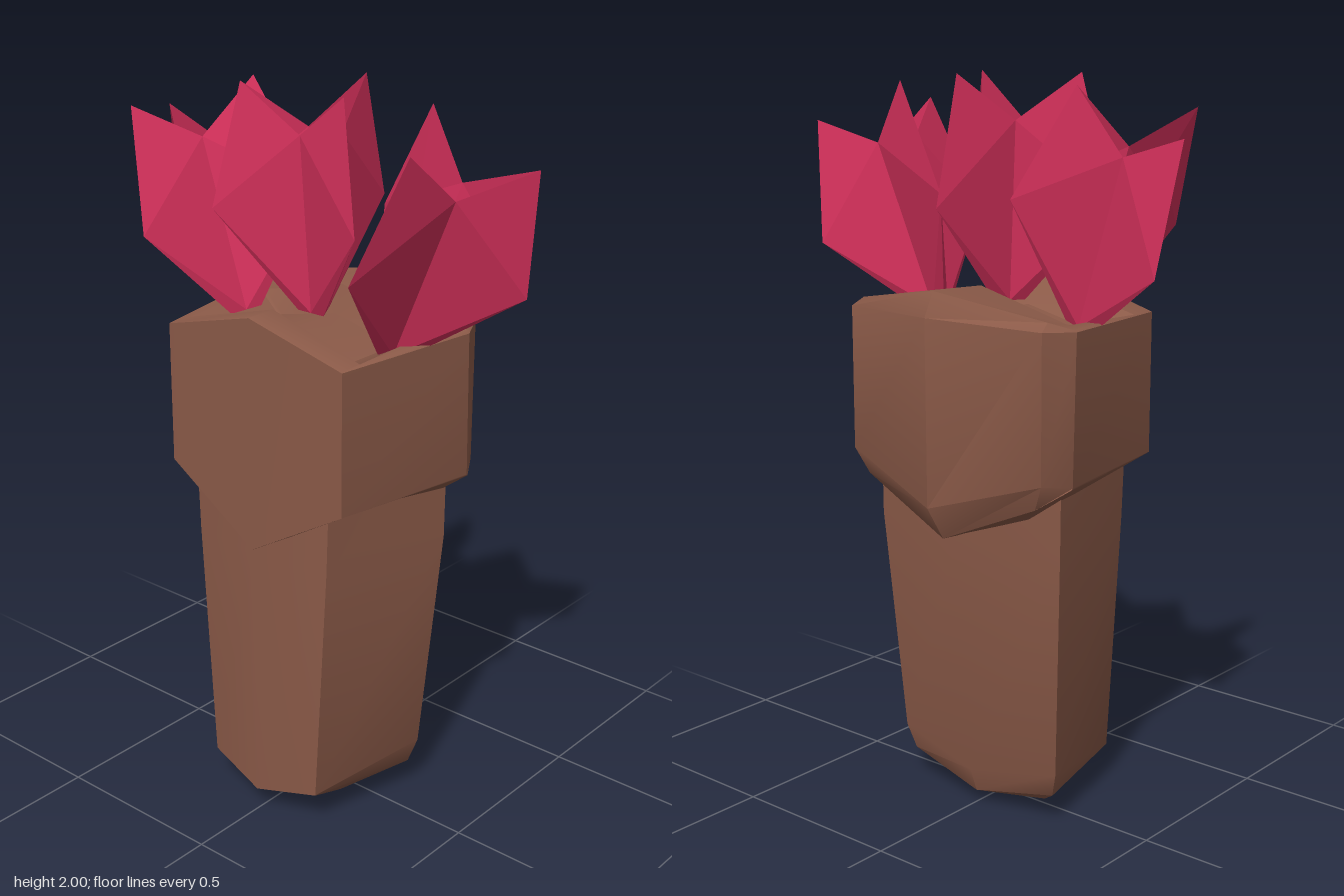
import * as THREE from 'three';
import { toCreasedNormals } from 'three/addons/utils/BufferGeometryUtils.js';

// Triangles from corner triples, dropping the collapsed ones
function fromTriangles(tris) {
  const pos = [];
  const tri = new THREE.Triangle();
  for (const [a, b, c] of tris) {
    tri.set(a, b, c);
    if (tri.getArea() > 1e-7) for (const p of [a, b, c]) pos.push(p.x, p.y, p.z);
  }
  const geo = new THREE.BufferGeometry();
  geo.setAttribute('position', new THREE.Float32BufferAttribute(pos, 3));
  geo.computeVertexNormals();
  return geo;
}

// Skin over closed rings, listed from the bottom up
function loft(rings) {
  const tris = [];
  for (let r = 0; r < rings.length - 1; r++) {
    const lo = rings[r], up = rings[r + 1], n = lo.length;
    for (let i = 0; i < n; i++) {
      const j = (i + 1) % n;
      tris.push([lo[i], lo[j], up[j]], [lo[i], up[j], up[i]]);
    }
  }
  return fromTriangles(tris);
}

// Full ring from a half outline running front centre -> +x side -> back centre
function mirrorRing(half) {
  const right = half.map(([x, y, z]) => new THREE.Vector3(x, y, z));
  const left = right.slice(1, -1).reverse().map((p) => new THREE.Vector3(-p.x, p.y, p.z));
  return [...right, ...left];
}

const collapse = (n, y, z) => Array.from({ length: n }, () => [0, y, z]);

// Three-ridged tulip cup, one ridge pointing to -z
function tulipGeometry() {
  const at = (angle, r, y) => new THREE.Vector3(Math.sin(angle) * r, y, -Math.cos(angle) * r);
  const tris = [];
  const step = (Math.PI * 2) / 3;
  const ridge = (a) => [at(a, 0.05, 0), at(a, 0.275, 0.26), at(a, 0.195, 0.59)];
  for (let k = 0; k < 3; k++) {
    const a = k * step;
    const [b0, w0, t0] = ridge(a);
    const [b1, w1, t1] = ridge(a + step);
    const valley = at(a + step / 2, 0.065, 0.47);
    const foot = at(a + step / 2, 0.025, 0);
    tris.push(
      [b0, w0, foot], [w0, valley, foot], [w0, t0, valley],
      [foot, w1, b1], [foot, valley, w1], [valley, t1, w1],
      [new THREE.Vector3(), b0, foot], [new THREE.Vector3(), foot, b1],
    );
  }
  return fromTriangles(tris);
}

export function createModel() {
  const group = new THREE.Group();
  const brown = new THREE.MeshStandardMaterial({ color: 0x8b5a48 });
  const pink = new THREE.MeshStandardMaterial({ color: 0xd6315c, side: THREE.DoubleSide, flatShading: true });

  const addLoft = (name, halves, crease) => {
    const mesh = new THREE.Mesh(toCreasedNormals(loft(halves.map(mirrorRing)), crease), brown);
    mesh.name = name;
    group.add(mesh);
  };

  // Tapered vessel with a faceted front and softened base
  addLoft('vesselBody', [
    collapse(4, 0.005, 0.02),
    [[0, 0.01, 0.08], [0.16, 0.05, 0.1], [0.2, 0.055, -0.06], [0, 0.01, -0.05]],
    [[0, 0.07, 0.274], [0.185, 0.11, 0.24], [0.25, 0.09, -0.09], [0, 0.04, -0.115]],
    [[0, 0.071, 0.274], [0.186, 0.112, 0.24], [0.272, 0.16, -0.105], [0, 0.11, -0.14]],
    [[0, 0.8, 0.274], [0.225, 0.8, 0.24], [0.313, 0.8, -0.145], [0, 0.8, -0.185]],
    [[0, 1.1, 0.274], [0.235, 1.1, 0.24], [0.315, 1.1, -0.145], [0, 1.1, -0.19]],
  ], 0.6);

  // Wide collar: pointed lower edge, gabled rim, shallow recess for the flowers
  addLoft('collar', [
    [[0, 0.81, 0.25], [0.22, 0.955, 0.22], [0.3, 0.935, -0.13], [0.22, 0.88, -0.16], [0, 0.8, -0.18]],
    [[0, 0.815, 0.277], [0.295, 0.99, 0.265], [0.366, 0.985, -0.17], [0.29, 0.93, -0.22], [0, 0.805, -0.245]],
    [[0, 0.816, 0.277], [0.295, 0.991, 0.265], [0.367, 0.99, -0.165], [0.325, 1.0, -0.24], [0, 0.9, -0.305]],
    [[0, 1.455, 0.277], [0.295, 1.375, 0.265], [0.367, 1.385, -0.155], [0.325, 1.39, -0.24], [0, 1.4, -0.308]],
    [[0, 1.456, 0.274], [0.293, 1.377, 0.262], [0.355, 1.39, -0.155], [0.315, 1.41, -0.205], [0, 1.465, -0.275]],
    [[0, 1.455, 0.185], [0.29, 1.376, 0.19], [0.29, 1.385, -0.085], [0.28, 1.388, -0.09], [0, 1.458, -0.09]],
    [[0, 1.385, 0.105], [0.2, 1.34, 0.105], [0.2, 1.34, -0.055], [0.19, 1.342, -0.06], [0, 1.385, -0.06]],
    collapse(5, 1.385, 0.02),
  ], 0.55);

  // Three tulips: one upright, two turned round and leaning outward
  const tulip = tulipGeometry();
  const addTulip = (name, x, y, z, turn, lean) => {
    const mesh = new THREE.Mesh(tulip, pink);
    mesh.name = name;
    mesh.position.set(x, y, z);
    mesh.rotation.set(0, turn, lean, 'ZYX');
    group.add(mesh);
  };
  addTulip('centreFlower', 0, 1.41, 0.015, 0, 0);
  for (const s of [1, -1]) {
    addTulip(s > 0 ? 'leftFlower' : 'rightFlower', s * 0.252, 1.363, 0.025, Math.PI, -s * 0.35);
  }
  return group;
}
